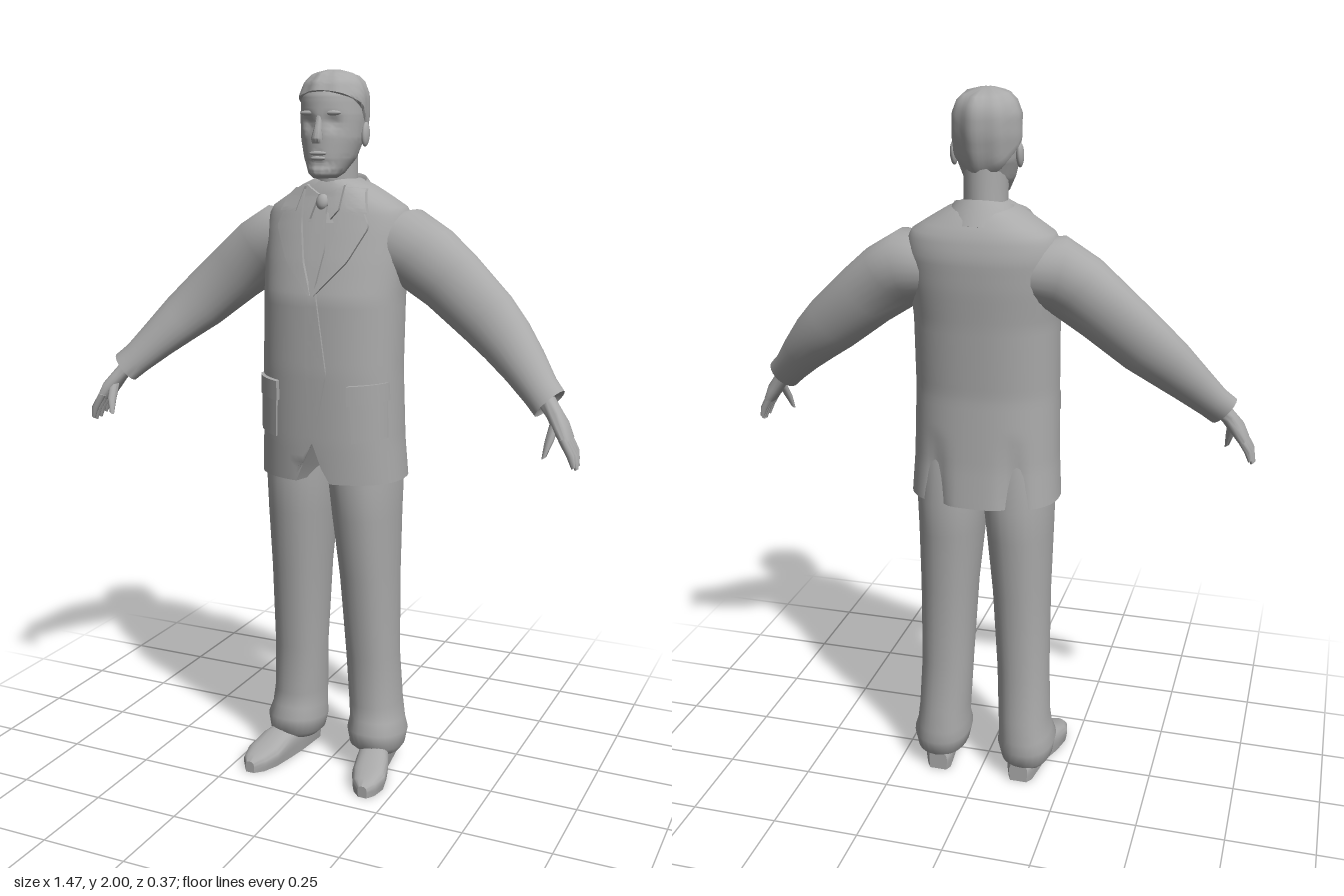
import * as THREE from 'three';
import { toCreasedNormals } from 'three/addons/utils/BufferGeometryUtils.js';

const V = (x, y, z) => new THREE.Vector3(x, y, z);
const spow = (v, p) => Math.sign(v) * Math.pow(Math.abs(v), p);
const bump = (d, r) => Math.exp(-(d * d) / (r * r));

// Superellipse ring around c with half axes u and v
function ring(c, u, v, n = 2, seg = 20) {
  return Array.from({ length: seg }, (_, i) => {
    const a = (i / seg) * Math.PI * 2;
    return c.clone().addScaledVector(u, spow(Math.cos(a), 2 / n)).addScaledVector(v, spow(Math.sin(a), 2 / n));
  });
}

// Closed skin over rings, capped at both ends and wound outwards
function loft(rings, crease = 0.9) {
  const n = rings[0].length, m = rings.length, idx = [];
  const pts = rings.flat();
  for (const r of [rings[0], rings[m - 1]]) {
    pts.push(r.reduce((s, p) => s.add(p), V(0, 0, 0)).divideScalar(n));
  }
  for (let j = 0; j < n; j++) {
    const k = (j + 1) % n;
    for (let i = 0; i < m - 1; i++) {
      const a = i * n + j, b = i * n + k;
      idx.push(a, b, b + n, a, b + n, a + n);
    }
    idx.push(m * n, k, j, m * n + 1, (m - 1) * n + j, (m - 1) * n + k);
  }
  let vol = 0;
  const q = V(0, 0, 0);
  for (let i = 0; i < idx.length; i += 3) vol += pts[idx[i]].dot(q.crossVectors(pts[idx[i + 1]], pts[idx[i + 2]]));
  if (vol < 0) idx.reverse();
  const g = new THREE.BufferGeometry().setFromPoints(pts);
  g.setIndex(idx);
  return toCreasedNormals(g, crease);
}

// Linear lookup in rows sorted by their first value
function sample(rows, y) {
  let i = 0;
  while (i < rows.length - 2 && y > rows[i + 1][0]) i++;
  const a = rows[i], b = rows[i + 1];
  const t = THREE.MathUtils.clamp((y - a[0]) / (b[0] - a[0]), 0, 1);
  return a.map((v, k) => v + (b[k] - v) * t);
}

// Rows: height, half width, front z, back z
const TORSO = [[0.89, 0.212, 0.13, -0.178], [1.0, 0.205, 0.135, -0.168], [1.2, 0.2, 0.138, -0.158],
  [1.4, 0.2, 0.132, -0.17], [1.5, 0.207, 0.105, -0.18], [1.58, 0.21, 0.08, -0.183], [1.635, 0.2, 0.062, -0.172],
  [1.67, 0.145, 0.05, -0.153], [1.7, 0.095, 0.042, -0.13], [1.715, 0.06, 0.03, -0.11]];
const HEAD = [[1.718, 0.03, 0.085, 0.0], [1.73, 0.046, 0.097, -0.03], [1.77, 0.068, 0.093, -0.075],
  [1.82, 0.083, 0.09, -0.1], [1.88, 0.088, 0.088, -0.113], [1.93, 0.086, 0.082, -0.113],
  [1.96, 0.073, 0.065, -0.1], [1.98, 0.05, 0.04, -0.075], [1.988, 0.012, 0.0, -0.03]];

function torsoFront(x, y) {
  const [, w, f, b] = sample(TORSO, y);
  return (f + b) / 2 + ((f - b) / 2) * Math.pow(Math.max(0, 1 - Math.pow(Math.abs(x) / w, 2.3)), 1 / 2.3);
}

function headPoint(y, a, grow) {
  const [, w, f, b] = sample(HEAD, y);
  return V(Math.cos(a) * (w + grow), y, (f + b) / 2 + Math.sin(a) * ((f - b) / 2 + grow));
}

// Thin cloth panel between two edge polylines, laid on the jacket front
function panel(left, right, off) {
  const along = (line, t) => {
    const f = t * (line.length - 1), i = Math.min(Math.floor(f), line.length - 2);
    return [0, 1].map(k => line[i][k] + (line[i + 1][k] - line[i][k]) * (f - i));
  };
  const rows = 24, cols = 8, pts = [], idx = [];
  for (let i = 0; i <= rows; i++) for (let j = 0; j <= cols; j++) {
    const t = THREE.MathUtils.clamp((i - 1) / (rows - 2), 0, 1), s = THREE.MathUtils.clamp((j - 1) / (cols - 2), 0, 1);
    const l = along(left, t), r = along(right, t);
    const x = l[0] + (r[0] - l[0]) * s, y = l[1] + (r[1] - l[1]) * s;
    const edge = i === 0 || j === 0 || i === rows || j === cols;
    pts.push(V(x, y, torsoFront(x, y) + (edge ? -0.006 : off)));
    if (i < rows && j < cols) {
      const a = i * (cols + 1) + j, b = a + cols + 1;
      idx.push(a, b, b + 1, a, b + 1, a + 1);
    }
  }
  const g = new THREE.BufferGeometry().setFromPoints(pts);
  g.setIndex(idx);
  g.computeVertexNormals();
  if (g.attributes.normal.array.reduce((s, v, i) => (i % 3 === 2 ? s + v : s), 0) < 0) g.setIndex(idx.reverse());
  return toCreasedNormals(g, 0.7);
}

export function createModel() {
  const model = new THREE.Group();
  model.name = 'suitedMan';
  const grey = new THREE.MeshStandardMaterial({ color: 0xaaaaaa });
  grey.name = 'plainGrey';
  const add = (name, geo) => {
    const mesh = new THREE.Mesh(geo, grey);
    mesh.name = name;
    model.add(mesh);
    return mesh;
  };
  const ball = (name, x, y, z, sx, sy, sz) => {
    const m = add(name, new THREE.SphereGeometry(1, 14, 10));
    m.position.set(x, y, z);
    m.scale.set(sx, sy, sz);
    return m;
  };

  // Jacket body, with a front notch in the hem and vent folds behind
  const jacket = [];
  for (let i = 0; i <= 44; i++) {
    const [y, w, f, b] = sample(TORSO, 0.89 + (0.825 * i) / 44);
    const r = ring(V(0, y, (f + b) / 2), V(w, 0, 0), V(0, 0, (f - b) / 2), 2.3, 64);
    for (const p of r) {
      if (p.z > 0.03) p.y = Math.max(p.y, 1.01 - Math.abs(p.x + 0.003) * 2.6);
      else if (p.z < -0.08) p.z += 0.022 * bump(Math.abs(p.x) - 0.11, 0.025) * THREE.MathUtils.clamp((1.1 - y) / 0.2, 0, 1);
    }
    jacket.push(r);
  }
  add('jacket', loft(jacket));

  // Jacket front: overlap, shirt, tie
  add('jacketOverlap', panel([[-0.018, 1.42], [-0.015, 1.2], [-0.003, 1.02]], [[0.012, 1.42], [0.045, 1.2], [0.01, 1.02]], 0.007));
  add('tie', panel([[-0.016, 1.67], [-0.014, 1.63], [-0.024, 1.53], [-0.006, 1.42]], [[0.016, 1.67], [0.014, 1.63], [0.024, 1.53], [0.006, 1.42]], 0.009));
  const knot = ball('tieKnot', 0, 1.655, 0.062, 0.018, 0.022, 0.014);
  knot.rotation.x = -0.3;

  // Collar standing around the neck, lower at the front
  const collar = [[1.655, 0.125, 0.118], [1.7, 0.1, 0.095], [1.728, 0.08, 0.08], [1.72, 0.068, 0.07], [1.68, 0.06, 0.062]];
  add('collar', loft(collar.map(([y, rx, rz]) => {
    const r = ring(V(0, y, -0.04), V(rx, 0, 0), V(0, 0, rz), 2, 32);
    r.forEach(p => { p.y -= (p.z + 0.12) * 0.28; });
    return r;
  })));

  // Neck
  add('neck', loft([[1.62, 0.062, -0.035], [1.72, 0.058, -0.03], [1.82, 0.06, -0.025]].map(
    ([y, r, z]) => ring(V(0, y, z), V(r, 0, 0), V(0, 0, r + 0.008)))));

  // Head, pressed in at the eyes
  const head = [];
  for (let i = 0; i <= 40; i++) {
    const y = 1.718 + (0.27 * i) / 40;
    head.push(Array.from({ length: 48 }, (_, j) => {
      const p = headPoint(y, (j / 48) * Math.PI * 2, 0);
      if (p.z > 0) {
        p.z -= 0.014 * bump(Math.hypot(Math.abs(p.x) - 0.034, y - 1.862), 0.02);
        p.z -= 0.007 * bump(y - 1.755, 0.009) * bump(p.x, 0.04);
      }
      return p;
    }));
  }
  add('head', loft(head));
  add('nose', loft([[1.88, 0.082, 0.007, 0.006], [1.85, 0.09, 0.01, 0.01], [1.822, 0.096, 0.016, 0.015], [1.808, 0.093, 0.015, 0.01]].map(
    ([y, z, w, d]) => ring(V(0, y, z), V(w, 0, 0), V(0, 0, d), 2, 12))));
  ball('upperLip', 0, 1.783, 0.091, 0.026, 0.006, 0.008);
  ball('lowerLip', 0, 1.77, 0.09, 0.022, 0.006, 0.008);

  // Hair cap, low at the nape, with combed ridges
  const hair = [];
  for (let i = 0; i <= 12; i++) {
    hair.push(Array.from({ length: 48 }, (_, j) => {
      const a = (j / 48) * Math.PI * 2, s = Math.sin(a);
      const line = s > 0 ? 1.87 + 0.07 * Math.sqrt(s) : 1.87 + 0.1 * s;
      const grow = i === 0 ? -0.004 : 0.005 + 0.003 * Math.sin(a * 8);
      const p = headPoint(line + (1.988 - line) * (i / 12), a, grow);
      p.y += i === 0 ? 0 : 0.012 * (i / 12);
      return p;
    }));
  }
  add('hair', loft(hair));

  for (const s of [1, -1]) {
    const side = s > 0 ? 'left' : 'right';
    const flip = pts => pts.map(([x, y]) => [x * s, y]);

    ball(side + 'Ear', s * 0.089, 1.832, -0.022, 0.01, 0.033, 0.019).rotation.x = -0.15;
    ball(side + 'Brow', s * 0.034, 1.887, 0.074, 0.026, 0.007, 0.009);

    // Lapel with a notch, shirt collar point, pocket and its flap
    add(side + 'Lapel', panel(flip([[0.062, 1.69], [0.055, 1.6], [0.035, 1.5], [0.002, 1.41]]),
      flip([[0.1, 1.67], [0.135, 1.59], [0.09, 1.5], [0.008, 1.41]]), 0.011));
    add(side + 'CollarLeaf', panel(flip([[0.06, 1.695], [0.075, 1.63]]), flip([[0.105, 1.69], [0.13, 1.625]]), 0.016));
    add(side + 'ShirtCollar', panel(flip([[0.012, 1.675], [0.03, 1.61]]), flip([[0.055, 1.7], [0.05, 1.635]]), 0.012));
    add(side + 'Pocket', panel(flip([[0.11, 1.15], [0.115, 1.01]]), flip([[0.19, 1.15], [0.192, 1.02]]), 0.01));
    add(side + 'PocketFlap', panel(flip([[0.105, 1.17], [0.105, 1.115]]), flip([[0.192, 1.175], [0.194, 1.125]]), 0.018));

    // Sleeve: x, y, z, half height, half depth
    const sleeve = [[0.12, 1.54, -0.06, 0.085, 0.09], [0.2, 1.535, -0.06, 0.103, 0.1], [0.25, 1.505, -0.06, 0.1, 0.087],
      [0.33, 1.445, -0.06, 0.092, 0.073], [0.44, 1.352, -0.045, 0.083, 0.063], [0.5, 1.3, -0.022, 0.073, 0.061],
      [0.56, 1.242, 0.008, 0.06, 0.056], [0.615, 1.185, 0.043, 0.049, 0.046], [0.645, 1.157, 0.062, 0.048, 0.043], [0.64, 1.162, 0.058, 0.036, 0.034]];
    add(side + 'Sleeve', loft(sleeve.map(([x, y, z, h, d], i) =>
      ring(V(s * x, y, z), V(s * (i < 2 ? 0.25 : 0.66) * h, (i < 2 ? 0.97 : 0.75) * h, 0), V(s * -0.25 * d, 0, 0.97 * d), 2, 24))));

    // Hand
    const palm = [[0.63, 1.17, 0.055, 0.024, 0.028], [0.66, 1.135, 0.07, 0.022, 0.028], [0.682, 1.105, 0.08, 0.022, 0.04], [0.702, 1.07, 0.087, 0.016, 0.04]];
    add(side + 'Palm', loft(palm.map(([x, y, z, h, d]) => ring(V(s * x, y, z), V(s * 0.8 * h, 0.5 * h, 0), V(0, 0, d), 2.3, 16))));
    const finger = (name, pts, r) => add(side + name, loft(pts.map(([x, y, z], i) =>
      ring(V(s * x, y, z), V(s * r * [1, 0.9, 0.45][i], 0.3 * r, 0), V(0, 0, r * [1, 0.9, 0.45][i]), 2, 10))));
    for (let i = 0; i < 4; i++) {
      const z = 0.057 + i * 0.02, len = [0.8, 0.95, 1, 0.9][i];
      finger('Finger' + (i + 1), [[0.695, 1.08, z], [0.695 + 0.027 * len, 1.08 - 0.045 * len, z + 0.004], [0.695 + 0.037 * len, 1.08 - 0.08 * len, z + 0.003]], 0.011);
    }
    finger('Thumb', [[0.668, 1.115, 0.09], [0.662, 1.07, 0.118], [0.654, 1.03, 0.133]], 0.014);

    // Trouser leg: height, inner x, outer x, front z, back z
    const leg = [[0.045, 0.075, 0.195, 0.03, -0.115], [0.065, 0.055, 0.208, 0.055, -0.135], [0.11, 0.045, 0.216, 0.06, -0.145], [0.145, 0.05, 0.205, 0.046, -0.143],
      [0.2, 0.047, 0.198, 0.042, -0.138], [0.35, 0.04, 0.192, 0.046, -0.122], [0.6, 0.026, 0.19, 0.076, -0.138],
      [0.78, 0.008, 0.193, 0.1, -0.15], [0.88, -0.002, 0.195, 0.11, -0.16], [1.03, -0.005, 0.185, 0.1, -0.14]];
    add(side + 'TrouserLeg', loft(leg.map(([y, a, b, f, k]) => {
      const r = ring(V(s * (a + b) / 2, y, (f + k) / 2), V(s * (b - a) / 2, 0, 0), V(0, 0, (f - k) / 2), 2.2, 28);
      if (y < 0.15) r.forEach(p => { p.y += 0.13 * (p.z + 0.04); });
      return r;
    })));

    // Shoe, toes turned out: z, centre x, half width, height
    const shoe = [[-0.13, 0.125, 0.028, 0.06], [-0.11, 0.127, 0.04, 0.08], [0, 0.14, 0.043, 0.095], [0.06, 0.157, 0.05, 0.082],
      [0.12, 0.17, 0.051, 0.06], [0.165, 0.176, 0.036, 0.047], [0.188, 0.18, 0.014, 0.034]];
    add(side + 'Shoe', loft(shoe.map(([z, x, w, h]) => {
      const r = ring(V(s * x, h / 2, z), V(s * w, 0, 0), V(0, h / 2, 0), 2.6, 24);
      r.forEach(p => { if (p.y < h * 0.25) p.y = 0; });
      return r;
    }), 0.7));
  }
  return model;
}
